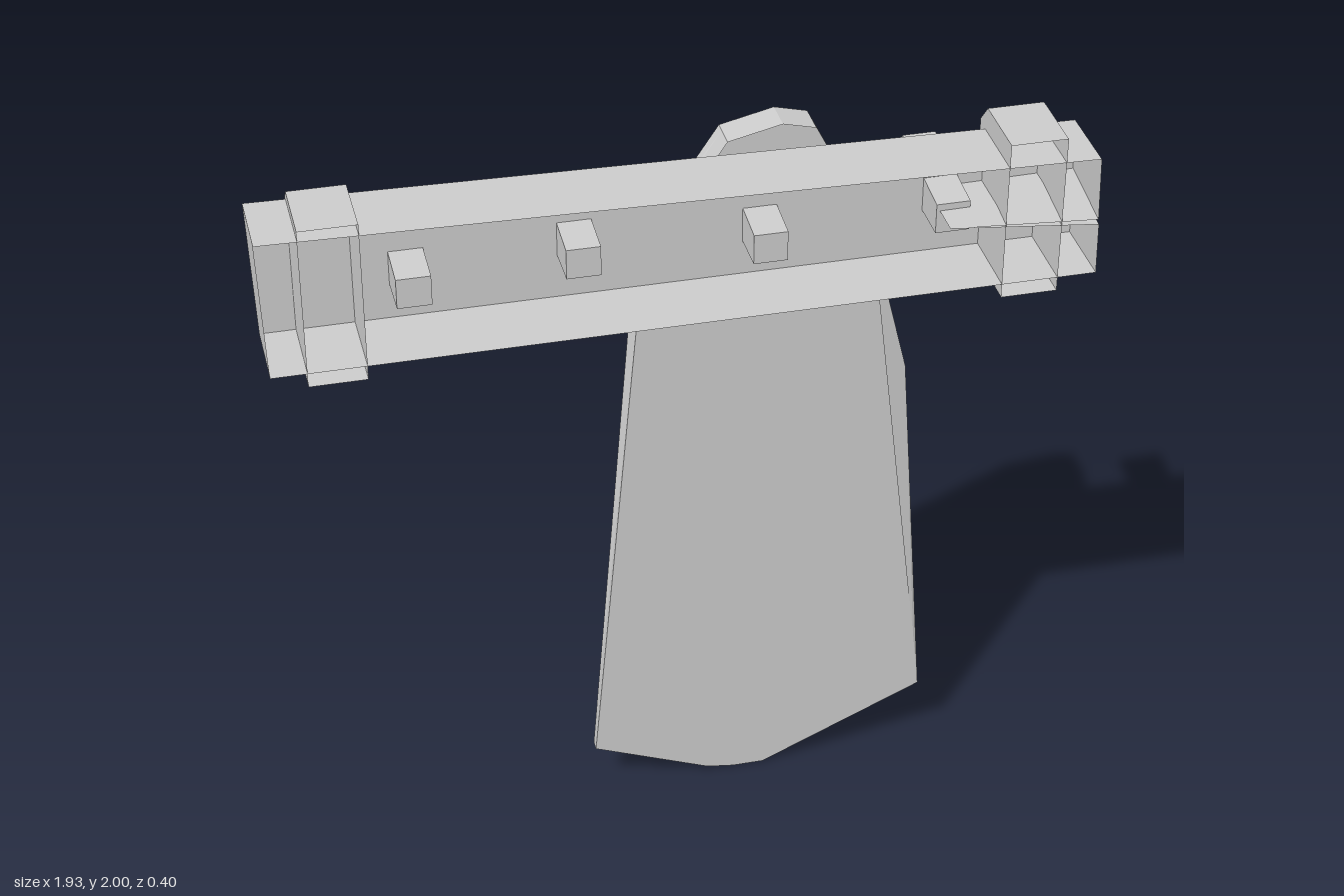
import * as THREE from 'three';

const material = new THREE.MeshStandardMaterial({
  color: 0xcccccc, flatShading: true, side: THREE.DoubleSide,
});

// Joins a front and a back outline (counter-clockwise seen from +z) with walls and optional caps.
function loft(name, front, back, zFront, zBack, { capFront = false, capBack = true, closed = true } = {}) {
  const n = front.length;
  const positions = [];
  const index = [];
  front.forEach(([x, y]) => positions.push(x, y, zFront));
  back.forEach(([x, y]) => positions.push(x, y, zBack));
  for (let i = 0; i < (closed ? n : n - 1); i++) {
    const j = (i + 1) % n;
    index.push(i, n + i, n + j, i, n + j, j);
  }
  const triangles = (outline) =>
    THREE.ShapeUtils.triangulateShape(outline.map(([x, y]) => new THREE.Vector2(x, y)), []);
  if (capFront) triangles(front).forEach(([a, b, c]) => index.push(a, b, c));
  if (capBack) triangles(back).forEach(([a, b, c]) => index.push(n + a, n + c, n + b));
  const indexed = new THREE.BufferGeometry();
  indexed.setAttribute('position', new THREE.Float32BufferAttribute(positions, 3));
  indexed.setIndex(index);
  const geometry = indexed.toNonIndexed();
  geometry.computeVertexNormals();
  const mesh = new THREE.Mesh(geometry, material);
  mesh.name = name;
  return mesh;
}

// Hollow plank, open at the front, with a slanted crack in its +x end
function board() {
  const outline = (lower, upper) => [
    [-0.955, 1.635], [0.96, 1.635], [0.957, lower], [0.6, 1.803],
    [0.955, upper], [0.95, 1.937], [-0.967, 1.977],
  ];
  return loft('board', outline(1.765, 1.778), outline(1.79, 1.808), 0.2, 0.015);
}

// Open-fronted strap round the board, bevelled along its top back edge
function bracket(name, x) {
  const group = new THREE.Group();
  group.name = name;
  const rect = (top) => [[x - 0.067, 1.6], [x + 0.067, 1.6], [x + 0.067, top], [x - 0.067, top]];
  group.add(
    loft('bracketBody', rect(2), rect(2), 0.2, 0.025, { capBack: false }),
    loft('bracketBack', rect(2), rect(1.95), 0.025, -0.02),
  );
  return group;
}

// Peg passing through the board, rising to a bevelled tip
function peg(x, y, tip) {
  const shape = new THREE.Shape([
    [-0.12, 1.745], [0.1, 1.745], [tip - 0.02, 1.758], [tip, 1.775], [tip - 0.042, 1.847], [-0.12, 1.82],
  ].map(([z, h]) => new THREE.Vector2(z, h)));
  const geometry = new THREE.ExtrudeGeometry(shape, { depth: 0.08, bevelEnabled: false });
  geometry.translate(0, 0, -0.04);
  geometry.rotateY(Math.PI / 2);
  const mesh = new THREE.Mesh(geometry, material);
  mesh.name = 'peg';
  mesh.position.set(x, y, 0);
  return mesh;
}

// Hanging cloth: a thin sheet with a deeper rim round its arched top
function cloth() {
  const group = new THREE.Group();
  group.name = 'cloth';
  const arch = [[0.52, 1.63], [0.36, 1.94], [0.28, 1.96], [0.15, 1.93], [-0.05, 1.63]];
  const hem = [[-0.17, 0.13], [0.13, 0.01], [0.2, 0], [0.28, 0], [0.7, 0.19]];
  const front = [...hem, [0.68, 0.36], ...arch.slice(0, 4), [-0.035, 1.63]];
  const back = [...hem, [0.63, 1.19], ...arch];
  group.add(
    loft('clothSheet', front, back, -0.135, -0.163, { capFront: true }),
    loft('clothRim', arch, arch, -0.08, -0.135, { capBack: false, closed: false }),
  );
  return group;
}

export function createModel() {
  const model = new THREE.Group();
  model.name = 'wallRack';
  model.add(board(), bracket('rightBracket', -0.805), bracket('leftBracket', 0.8), cloth());
  [[-0.615, -0.022, 0.19], [-0.23, 0, 0.2], [0.203, -0.022, 0.19], [0.632, 0, 0.2]]
    .forEach(([x, y, tip]) => model.add(peg(x, y, tip)));
  return model;
}
